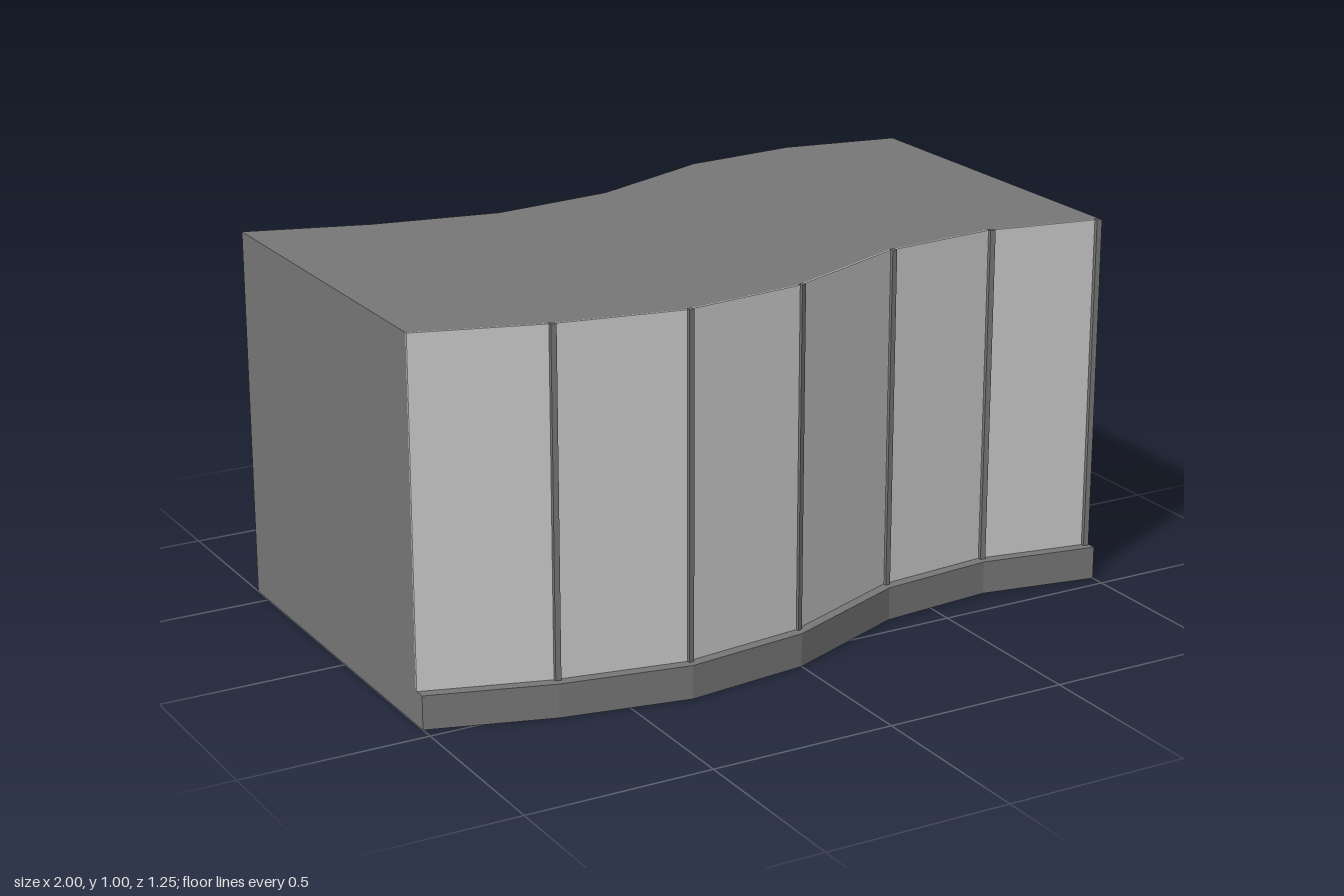
import * as THREE from 'three';

// Faceted S-curve of the front face, left end to right end: [x, z]
const curve = [[-1, 0.43], [-0.68, 0.53], [-0.34, 0.593], [0, 0.553], [0.36, 0.403], [0.68, 0.373], [1, 0.43]];
const depth = 1;
const plinthHeight = 0.09;
const height = 1;

const darkMaterial = new THREE.MeshStandardMaterial({ color: 0x777777 });
const panelMaterial = new THREE.MeshStandardMaterial({ color: 0xcccccc });

// Upright slab between two copies of a path, shifted in z
function slab(name, path, front, back, y0, y1, material) {
  const outline = [
    ...path.map(([x, z]) => new THREE.Vector2(x, -(z + front))),
    ...path.map(([x, z]) => new THREE.Vector2(x, -(z + back))).reverse(),
  ];
  const geometry = new THREE.ExtrudeGeometry(new THREE.Shape(outline), { depth: y1 - y0, bevelEnabled: false });
  geometry.rotateX(-Math.PI / 2);
  geometry.translate(0, y0, 0);
  const mesh = new THREE.Mesh(geometry, material);
  mesh.name = name;
  return mesh;
}

export function createModel() {
  const model = new THREE.Group();
  model.name = 'curvedCounter';

  // Solid body and the plinth along its foot
  model.add(slab('body', curve, -0.005, -depth, 0, height, darkMaterial));
  model.add(slab('plinth', curve, 0.03, -0.005, 0, plinthHeight, darkMaterial));

  for (let i = 0; i < curve.length - 1; i++) {
    const [a, b] = [curve[i], curve[i + 1]];
    const at = (x) => [x, a[1] + (b[1] - a[1]) * (x - a[0]) / (b[0] - a[0])];

    // Light facing panel on each facet
    model.add(slab('frontPanel', [a, b], 0, -0.005, plinthHeight, height, panelMaterial));

    // Narrow raised strip beside each joint, and one at the right end
    const starts = [];
    if (i > 0) starts.push(a[0] + 0.002);
    if (i === curve.length - 2) starts.push(b[0] - 0.018);
    for (const x of starts) {
      model.add(slab('jointStrip', [at(x), at(x + 0.014)], 0.01, -0.004, plinthHeight, height + 0.002, darkMaterial));
    }
  }
  return model;
}
